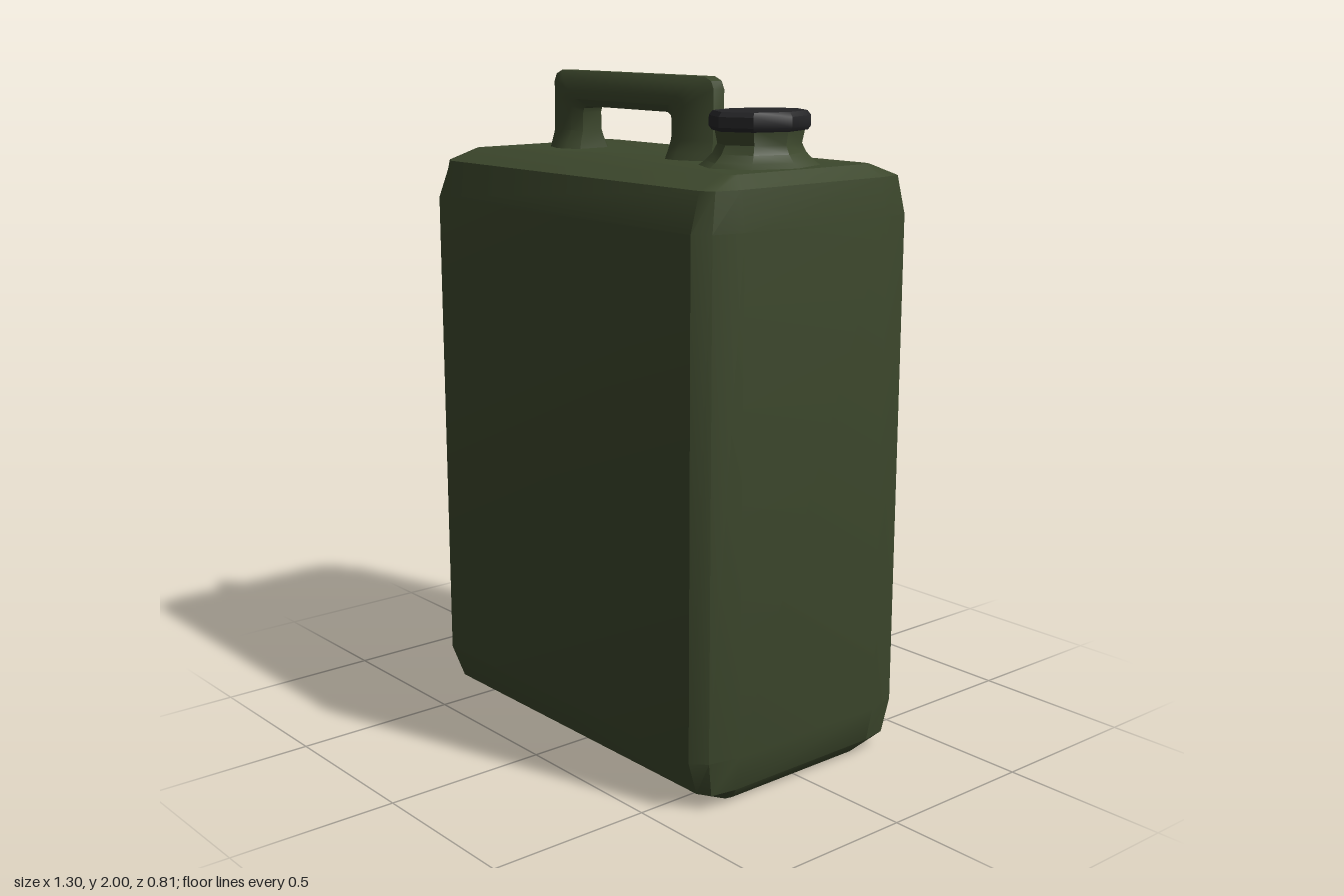
import * as THREE from 'three';
import { toCreasedNormals } from 'three/addons/utils/BufferGeometryUtils.js';

const CREASE = 0.6;

// Skin a list of equal-length rings (each [x, y, z] points) and close both ends.
function loft(rings) {
  const n = rings[0].length;
  const pos = rings.flat(2);
  const idx = [];
  const cap = (ring, base, flip) => {
    const c = [0, 1, 2].map(k => ring.reduce((s, p) => s + p[k], 0) / n);
    const ci = pos.length / 3;
    pos.push(...c);
    for (let j = 0; j < n; j++) {
      const a = base + j, b = base + (j + 1) % n;
      idx.push(ci, flip ? b : a, flip ? a : b);
    }
  };
  for (let i = 0; i < rings.length - 1; i++) {
    for (let j = 0; j < n; j++) {
      const k = (j + 1) % n;
      const a = i * n + j, b = i * n + k, c = b + n, d = a + n;
      idx.push(a, b, c, a, c, d);
    }
  }
  cap(rings[0], 0, true);
  cap(rings[rings.length - 1], (rings.length - 1) * n, false);
  const g = new THREE.BufferGeometry();
  g.setAttribute('position', new THREE.Float32BufferAttribute(pos, 3));
  g.setIndex(idx);
  return toCreasedNormals(g, CREASE);
}

// Rectangle with chamfered corners; q holds the three [x, z] points of one corner.
function bodyRing(y, q) {
  const r = [...q].reverse();
  return [
    ...q.map(([x, z]) => [x, y, -z]),
    ...r.map(([x, z]) => [-x, y, -z]),
    ...q.map(([x, z]) => [-x, y, z]),
    ...r.map(([x, z]) => [x, y, z]),
  ];
}

function lathe(profile, sides) {
  const g = new THREE.LatheGeometry(profile.map(p => new THREE.Vector2(...p)), sides);
  g.scale(0.83, 1, 1);
  return toCreasedNormals(g, CREASE);
}

export function createModel() {
  const group = new THREE.Group();
  const green = new THREE.MeshStandardMaterial({ color: 0x3c472c });
  const black = new THREE.MeshStandardMaterial({ color: 0x242426 });
  const add = (name, geometry, material) => {
    const mesh = new THREE.Mesh(geometry, material);
    mesh.name = name;
    group.add(mesh);
    return mesh;
  };

  // Body: chamfered container, softened towards top and bottom
  const wide = [[0.65, 0.27], [0.63, 0.365], [0.59, 0.405]];
  const mid = [[0.632, 0.265], [0.618, 0.345], [0.58, 0.367]];
  const small = [[0.59, 0.24], [0.585, 0.262], [0.56, 0.27]];
  add('body', loft([
    bodyRing(0, small), bodyRing(0.045, mid), bodyRing(0.15, wide),
    bodyRing(1.62, wide), bodyRing(1.73, mid), bodyRing(1.765, small),
  ]), green);

  // Handle: section swept between inner and outer outlines, flared at the feet
  const half = [[0, 0.035], [0.2, 0.055], [0.45, 0.058], [0.8, 0.042], [1, 0.02]];
  const section = [...half.map(([t, z]) => [t, -z]), ...[...half].reverse()];
  const centre = -0.13;
  // [inner offset, inner y, outer offset, outer y, depth scale]
  const leg = [
    [0.2, 1.755, 0.375, 1.755, 1.6],
    [0.207, 1.785, 0.375, 1.785, 1.35],
    [0.21, 1.82, 0.375, 1.82, 1.05],
    [0.21, 1.875, 0.375, 1.965, 1],
    [0.205, 1.888, 0.364, 1.988, 1],
    [0.19, 1.895, 0.335, 2.0, 1],
  ];
  const stations = [
    ...leg.map(([i, iy, o, oy, s]) => [-i, iy, -o, oy, s]),
    ...[...leg].reverse(),
  ];
  add('handle', loft(stations.map(([i, iy, o, oy, s]) =>
    section.map(([t, z]) => [centre + i + (o - i) * t, iy + (oy - iy) * t, z * s]))), green);

  // Spout neck, flaring into the top of the body
  const neck = add('spoutNeck', lathe([
    [0.2, 1.755], [0.165, 1.778], [0.142, 1.8], [0.128, 1.825], [0.138, 1.87],
  ], 8), green);

  // Screw cap with bevelled rims
  const cap = add('cap', lathe([
    [0, 1.862], [0.145, 1.862], [0.154, 1.873], [0.154, 1.902], [0.143, 1.915], [0, 1.915],
  ], 8), black);
  neck.position.x = cap.position.x = 0.415;

  return group;
}
